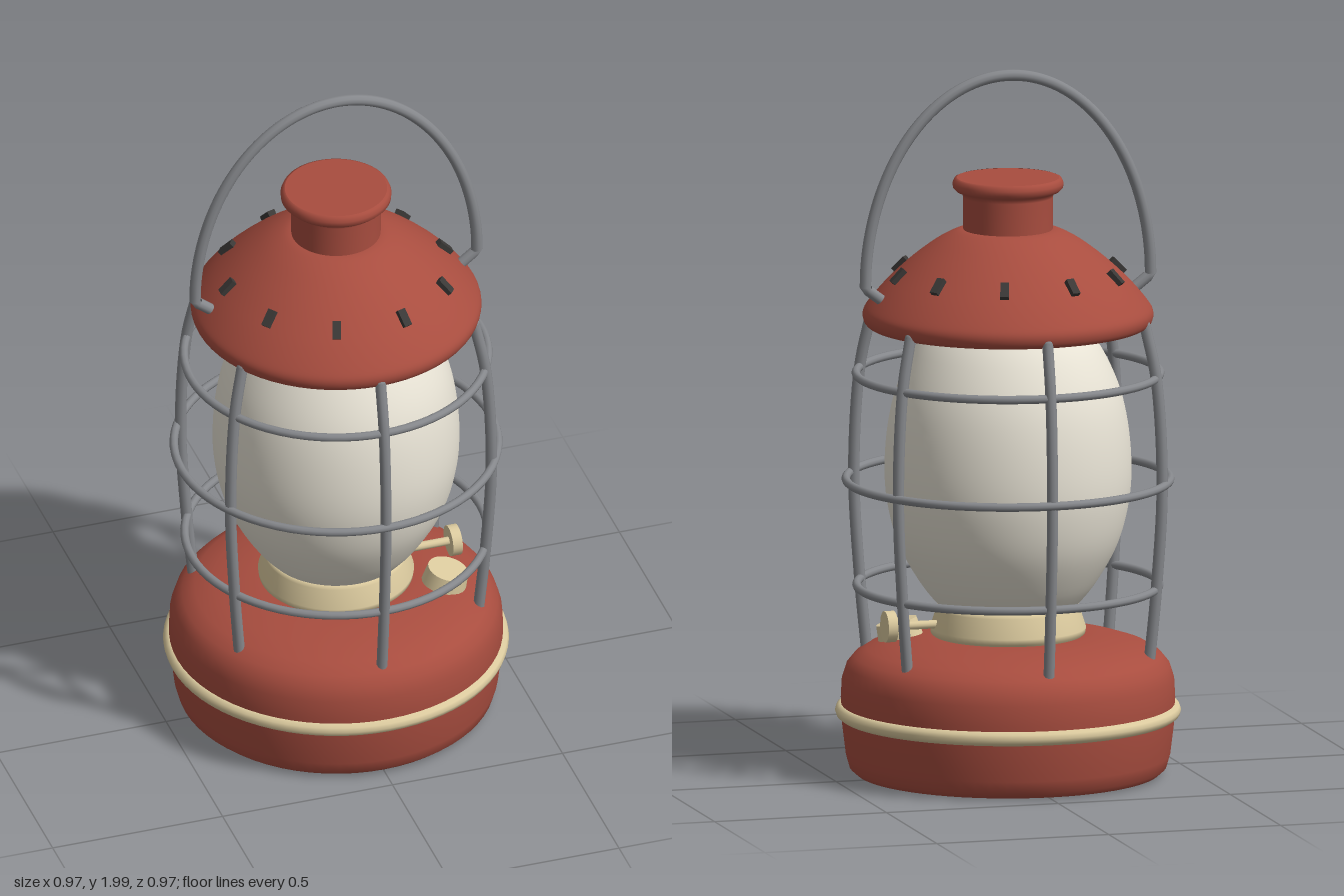
import * as THREE from 'three';

const mat = (color, side = THREE.FrontSide) => new THREE.MeshStandardMaterial({ color, side });
const red = mat(0xa84d3f, THREE.DoubleSide);
const cream = mat(0xdccb9f);
const glassWhite = mat(0xe9e4d6, THREE.DoubleSide);
const steel = mat(0x86888c);
const dark = mat(0x3a3836);

function add(parent, name, geometry, material) {
  const mesh = new THREE.Mesh(geometry, material);
  mesh.name = name;
  parent.add(mesh);
  return mesh;
}

const vecs = (pairs) => pairs.map(([r, y]) => new THREE.Vector2(r, y));
const lathe = (pairs) => new THREE.LatheGeometry(vecs(pairs), 64);

// Smooth profile through a few [radius, y] points
const smoothLathe = (pairs, n) =>
  new THREE.LatheGeometry(new THREE.SplineCurve(vecs(pairs)).getPoints(n), 64);

// Round bar along a path, with rounded ends
function bar(parent, name, curve, radius, segments) {
  const group = new THREE.Group();
  group.name = name;
  add(group, name + 'Rod', new THREE.TubeGeometry(curve, segments, radius, 10), steel);
  for (const t of [0, 1]) {
    add(group, name + 'End', new THREE.SphereGeometry(radius, 10, 8), steel)
      .position.copy(curve.getPoint(t));
  }
  parent.add(group);
  return group;
}

function ring(parent, name, y, radius, tube, material) {
  const mesh = add(parent, name, new THREE.TorusGeometry(radius, tube, 10, 72), material);
  mesh.rotation.x = Math.PI / 2;
  mesh.position.y = y;
  return mesh;
}

export function createModel() {
  const lantern = new THREE.Group();
  lantern.name = 'lantern';

  // Fuel tank with its band
  add(lantern, 'tank', lathe([
    [0, 0.005], [0.4, 0.005], [0.425, 0.009], [0.443, 0.025], [0.453, 0.06], [0.464, 0.15],
    [0.467, 0.22], [0.464, 0.275], [0.452, 0.313], [0.43, 0.34], [0.395, 0.362],
    [0.34, 0.38], [0.27, 0.394], [0.2, 0.4], [0, 0.4],
  ]), red);
  ring(lantern, 'tankBand', 0.185, 0.462, 0.021, cream);

  // Burner collar
  add(lantern, 'burnerCollar', lathe([
    [0.2, 0.39], [0.216, 0.405], [0.218, 0.42], [0.2, 0.475], [0.196, 0.487], [0.17, 0.492], [0, 0.492],
  ]), cream);

  // Glass globe
  add(lantern, 'globe', smoothLathe([
    [0.18, 0.47], [0.24, 0.54], [0.303, 0.65], [0.335, 0.76], [0.345, 0.87],
    [0.335, 1.0], [0.308, 1.11], [0.255, 1.22], [0.19, 1.3],
  ], 40), glassWhite);

  // Hood, hollow underneath
  add(lantern, 'hood', smoothLathe([
    [0.13, 1.52], [0.22, 1.45], [0.31, 1.365], [0.36, 1.3], [0.382, 1.277], [0.4, 1.285],
    [0.406, 1.312], [0.39, 1.342], [0.34, 1.4], [0.27, 1.465], [0.2, 1.517], [0.145, 1.545], [0.11, 1.55],
  ], 60), red);

  // Chimney and flared cap
  add(lantern, 'chimney', lathe([
    [0.125, 1.5], [0.125, 1.64], [0.13, 1.652], [0.145, 1.658],
  ]), red);
  add(lantern, 'chimneyCap', lathe([
    [0.12, 1.655], [0.145, 1.658], [0.154, 1.667], [0.155, 1.68], [0.15, 1.692], [0.143, 1.695],
  ]), red);
  const lid = add(lantern, 'chimneyLid', new THREE.CircleGeometry(0.145, 64), red);
  lid.rotation.x = -Math.PI / 2;
  lid.position.y = 1.694;

  // Vent slots around the hood
  for (let i = 0; i < 10; i++) {
    const pivot = new THREE.Group();
    pivot.name = 'vent';
    pivot.rotation.y = i * Math.PI / 5;
    const slot = add(pivot, 'ventSlot', new THREE.BoxGeometry(0.05, 0.025, 0.024), dark);
    slot.position.set(0.316, 1.426, 0);
    slot.rotation.z = -0.8;
    lantern.add(pivot);
  }

  // Cage: six bowed uprights and three hoops
  const upright = new THREE.CatmullRomCurve3([
    [0.407, 0.345], [0.426, 0.54], [0.443, 0.84], [0.426, 1.14], [0.394, 1.29],
  ].map(([r, y]) => new THREE.Vector3(r, y, 0)));
  for (let i = 0; i < 6; i++) {
    bar(lantern, 'cageUpright', upright, 0.016, 28).rotation.y = Math.PI / 6 + i * Math.PI / 3;
  }
  for (const [y, r] of [[0.54, 0.423], [0.84, 0.453], [1.14, 0.425]]) {
    ring(lantern, 'cageHoop', y, r, 0.012, steel);
  }

  // Bail handle: half ellipse with short feet turned into the hood
  const bail = new THREE.CurvePath();
  const arch = [];
  for (let i = 0; i <= 32; i++) {
    const a = Math.PI * i / 32;
    arch.push(new THREE.Vector3(0.415 * Math.cos(a), 1.4 + 0.584 * Math.sin(a), 0));
  }
  const foot = (s) => new THREE.Vector3(s * 0.36, 1.358, 0);
  bail.add(new THREE.LineCurve3(foot(1), arch[0]));
  bail.add(new THREE.CatmullRomCurve3(arch));
  bail.add(new THREE.LineCurve3(arch[32], foot(-1)));
  bar(lantern, 'handle', bail, 0.016, 120);

  // Wick knob on its shaft
  const shaft = add(lantern, 'wickShaft', new THREE.CylinderGeometry(0.012, 0.012, 0.2, 12), cream);
  shaft.rotation.z = Math.PI / 2;
  shaft.position.set(0.25, 0.437, 0);
  const knob = add(lantern, 'wickKnob', new THREE.CylinderGeometry(0.044, 0.044, 0.028, 24), cream);
  knob.rotation.z = Math.PI / 2;
  knob.position.set(0.345, 0.437, 0);

  // Filler cap, tilted with the tank shoulder
  const filler = new THREE.Group();
  filler.name = 'filler';
  filler.rotation.y = -0.4;
  const cap = add(filler, 'fillerCap', new THREE.CylinderGeometry(0.058, 0.064, 0.05, 24), cream);
  cap.position.set(0.308, 0.405, 0);
  cap.rotation.z = -0.25;
  lantern.add(filler);

  return lantern;
}
